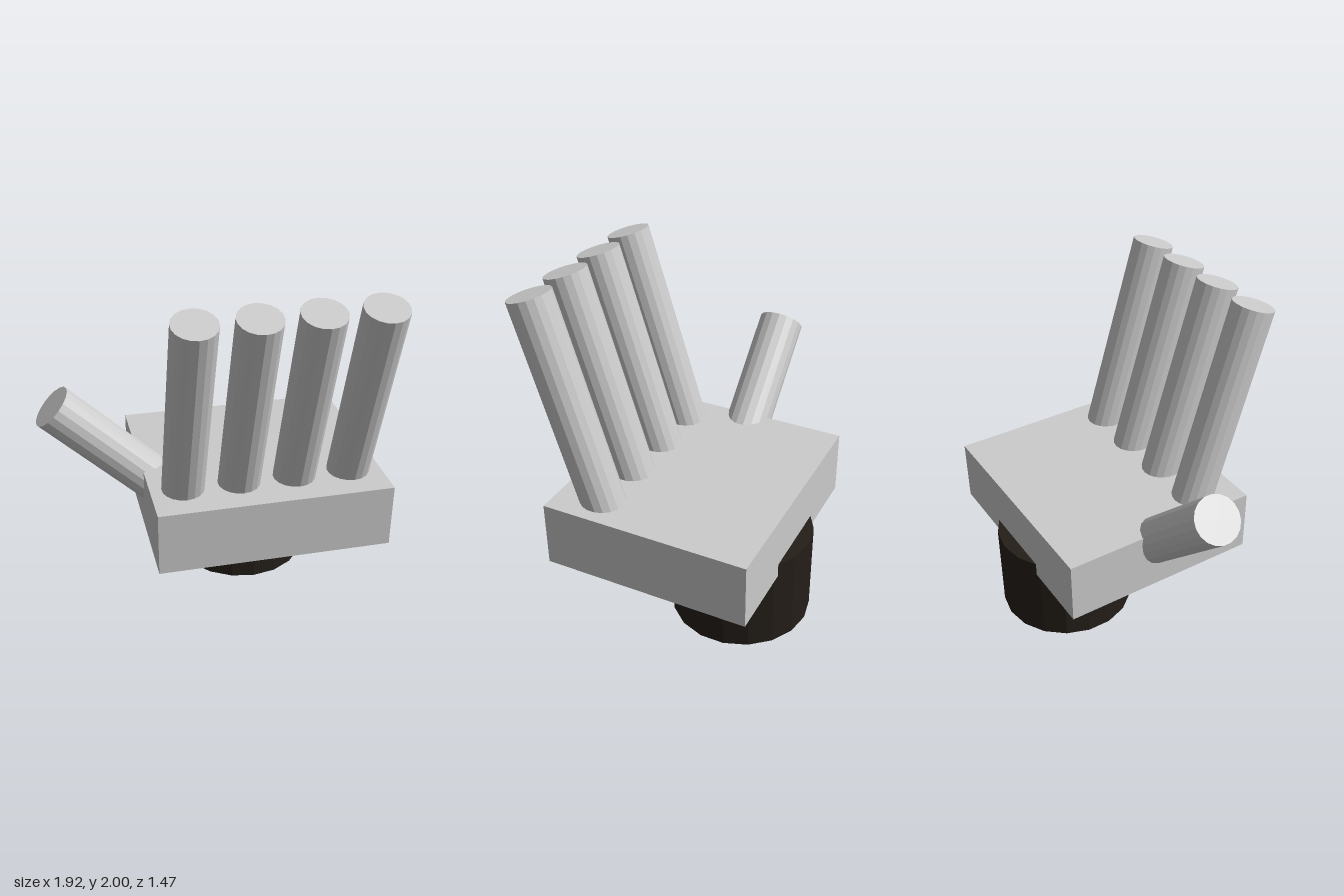
import * as THREE from 'three';

const SIDES = 18;
const UP = new THREE.Vector3(0, 1, 0);

export function createModel() {
  const model = new THREE.Group();
  const grey = new THREE.MeshStandardMaterial({ color: 0xcccccc, flatShading: true });
  const dark = new THREE.MeshStandardMaterial({ color: 0x241e18, flatShading: true });

  // Straight capped rod running from one point to another
  function rod(name, from, to, radius, material) {
    const a = new THREE.Vector3(...from);
    const b = new THREE.Vector3(...to);
    const dir = b.clone().sub(a);
    const mesh = new THREE.Mesh(new THREE.CylinderGeometry(radius, radius, dir.length(), SIDES), material);
    mesh.name = name;
    mesh.position.copy(a).add(b).multiplyScalar(0.5);
    mesh.quaternion.setFromUnitVectors(UP, dir.normalize());
    model.add(mesh);
  }

  // Wrist stub, set partly into the palm and poking out behind it
  rod('wrist', [0.284, 0, -0.332], [0.284, 0.54, -0.332], 0.403, dark);

  // Palm slab
  const palm = new THREE.Mesh(new THREE.BoxGeometry(1.343, 0.376, 1.18), grey);
  palm.name = 'palm';
  palm.position.set(0.284, 0.648, -0.062);
  model.add(palm);

  // Four fingers leaning forward
  [-0.2, 0.122, 0.445, 0.767].forEach((x, i) => {
    rod(`finger${i + 1}`, [x, 0.62, 0.208], [x, 1.963, 0.623], 0.121, grey);
  });

  // Thumb slanting out to the side
  rod('thumb', [-0.186, 0.593, -0.065], [-0.87, 1.252, -0.065], 0.133, grey);

  return model;
}
